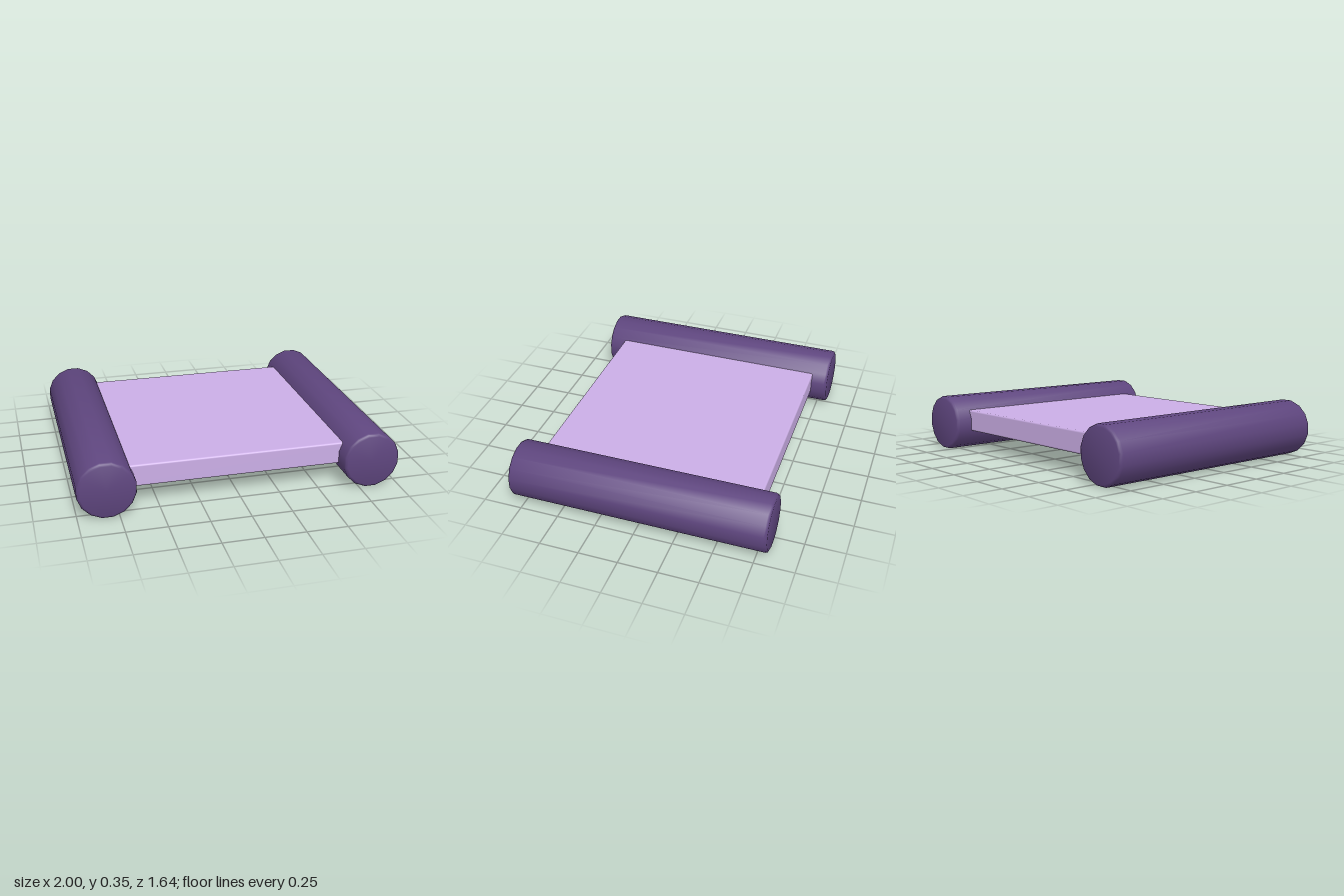
import * as THREE from 'three';
import { RoundedBoxGeometry } from 'three/addons/geometries/RoundedBoxGeometry.js';
import { toCreasedNormals } from 'three/addons/utils/BufferGeometryUtils.js';

const SIDES = 16;
const RADIUS = 0.18;
const HALF_LENGTH = 0.82;
const BEVEL = 0.018;

// Lathed bar along z with a small bevel around each end
function makeRoller(material) {
  const profile = [
    [0, -HALF_LENGTH],
    [RADIUS - BEVEL, -HALF_LENGTH],
    [RADIUS - BEVEL * 0.3, -HALF_LENGTH + BEVEL * 0.3],
    [RADIUS, -HALF_LENGTH + BEVEL],
    [RADIUS, HALF_LENGTH - BEVEL],
    [RADIUS - BEVEL * 0.3, HALF_LENGTH - BEVEL * 0.3],
    [RADIUS - BEVEL, HALF_LENGTH],
    [0, HALF_LENGTH],
  ].map(([r, y]) => new THREE.Vector2(r, y));
  const geometry = new THREE.LatheGeometry(profile, SIDES, Math.PI / SIDES);
  geometry.rotateX(Math.PI / 2);
  return new THREE.Mesh(toCreasedNormals(geometry, 0.9), material);
}

export function createModel() {
  const group = new THREE.Group();
  const dark = new THREE.MeshStandardMaterial({ color: 0x5f467f });
  const light = new THREE.MeshStandardMaterial({ color: 0xcbaee6 });

  // Side rollers
  for (const side of [1, -1]) {
    const roller = makeRoller(dark);
    roller.name = side > 0 ? 'leftRoller' : 'rightRoller';
    roller.position.set(side * 0.822, 0.178, 0);
    group.add(roller);
  }

  // Flat slab whose ends are buried in the rollers
  const panel = new THREE.Mesh(new RoundedBoxGeometry(1.6, 0.14, 1.42, 3, 0.012), light);
  panel.name = 'panel';
  panel.position.set(0, 0.2, -0.003);
  group.add(panel);

  return group;
}
